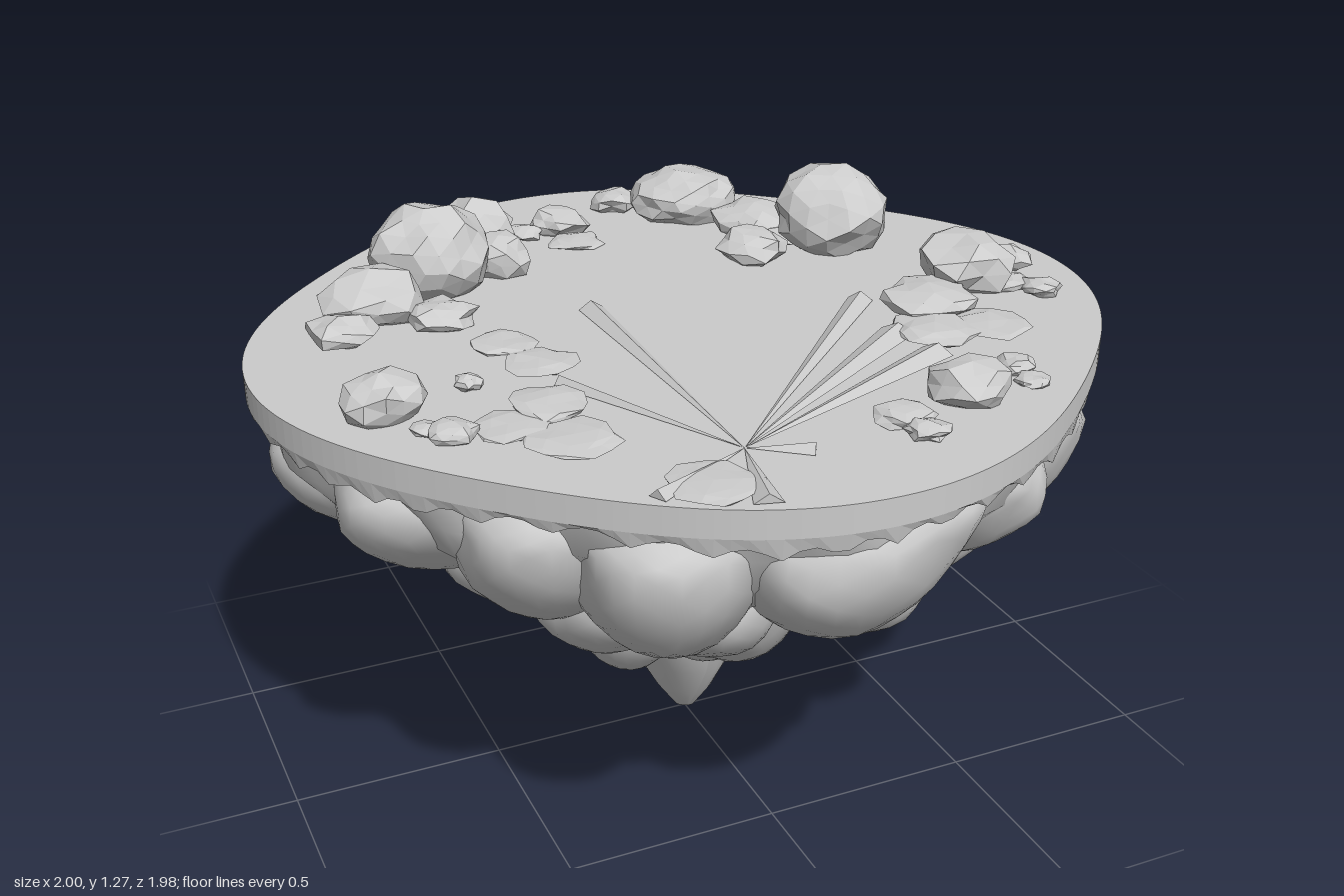
import * as THREE from 'three';
import { mergeVertices } from 'three/addons/utils/BufferGeometryUtils.js';

const GROUND = 1.062;
const smoothMat = new THREE.MeshStandardMaterial({ color: 0xcccccc });
const flatMat = new THREE.MeshStandardMaterial({ color: 0xcccccc, flatShading: true, side: THREE.DoubleSide });

// Rounded-diamond outline of the island, as a factor on the radius
const outline = (a) => 0.963 + 0.037 * Math.cos(4 * a);

// Smooth repeatable lumpiness
const lump = (v, s) =>
  Math.sin(v.x * 3.1 + s * 1.7) * Math.sin(v.y * 2.7 + s * 2.3) + 0.6 * Math.sin(v.z * 4.3 + v.x * 2 + s * 3.1)
  + 0.35 * Math.sin(v.x * 7 + s) * Math.sin(v.y * 6 + v.z * 5 + s * 2);

// Coarse repeatable jitter for faceted stones
const jitter = (v, s) => {
  const n = Math.sin(Math.round(v.x * 50) * 12.99 + Math.round(v.y * 50) * 78.23 + Math.round(v.z * 50) * 37.7 + s * 4.1) * 437.58;
  return n - Math.floor(n) - 0.5;
};

// Moves every vertex of a geometry by a rule
function deform(geo, rule) {
  const p = geo.attributes.position, v = new THREE.Vector3();
  for (let i = 0; i < p.count; i++) {
    v.fromBufferAttribute(p, i);
    rule(v);
    p.setXYZ(i, v.x, v.y, v.z);
  }
  geo.computeVertexNormals();
  return geo;
}

function add(group, name, geo, mat) {
  const mesh = new THREE.Mesh(geo, mat);
  mesh.name = name;
  group.add(mesh);
  return mesh;
}

const lathe = (pts, segments) => new THREE.LatheGeometry(pts.map(([x, y]) => new THREE.Vector2(x, y)), segments);

// Hanging boulder: round above, tapering to a blunt point that leans inwards
function boulder(group, name, seed, { deg, dist, width, depth, mid, up, bottom, lean }) {
  let geo = new THREE.IcosahedronGeometry(1, 5);
  geo.deleteAttribute('uv');
  geo.deleteAttribute('normal');
  geo = mergeVertices(geo, 1e-4);
  deform(geo, (v) => {
    const n = 1 + 0.075 * lump(v, seed);
    const t = Math.max(0, -v.y);
    const taper = 1 - 0.2 * t * t;
    v.set(v.x * width * n * taper, v.y * (v.y > 0 ? up : mid - bottom), v.z * depth * n * taper - lean * t * t);
  });
  const mesh = add(group, name, geo, smoothMat);
  const a = THREE.MathUtils.degToRad(deg), r = dist * outline(a);
  mesh.position.set(Math.sin(a) * r, mid, Math.cos(a) * r);
  mesh.rotation.y = a;
}

// Faceted stone half sunk in the ground
function stone(group, name, x, z, r, h, seed) {
  const big = r > 0.13;
  const geo = deform(new THREE.IcosahedronGeometry(1, big ? 2 : 1), (v) => {
    const n = 1 + (big ? 0.2 : 0.42) * jitter(v, seed);
    v.set(v.x * r * n, v.y * h * 0.6 * n, v.z * r * n);
  });
  const mesh = add(group, name, geo, flatMat);
  mesh.position.set(x, GROUND + h * 0.4, z);
  mesh.rotation.y = seed;
}

export function createModel() {
  const island = new THREE.Group();
  island.name = 'floatingIsland';

  // Ground slab with a scalloped lower edge
  const slab = lathe([[0.85, 1.0], [0.965, 0.98], [0.992, 0.98], [1, 1.0], [1, GROUND], [1, GROUND], [0, GROUND]], 192);
  deform(slab, (v) => {
    const a = Math.atan2(v.x, v.z), k = outline(a);
    if (v.y < 0.99) v.y += 0.026 * Math.abs(Math.sin(a * 23 + Math.sin(a * 5))) - 0.022 + 0.01 * Math.sin(a * 7);
    v.x *= k;
    v.z *= k * 0.99;
  });
  add(island, 'groundSlab', slab, flatMat);

  // Inner mass that fills the gaps between the boulders
  const core = lathe([[0, 0.22], [0.16, 0.36], [0.3, 0.47], [0.46, 0.56], [0.65, 0.66], [0.79, 0.74], [0.88, 0.82], [0.93, 0.9], [0.95, 1.0]], 96);
  deform(core, (v) => {
    const a = Math.atan2(v.x, v.z), k = outline(a) + 0.018 * Math.sin(a * 13 + v.y * 9) + 0.012 * Math.sin(a * 7 - v.y * 21);
    v.x *= k;
    v.z *= k * 0.99;
  });
  add(island, 'rockCore', core, smoothMat);

  // Boulder tiers: angle from the front, half width, lowest point, own distance where it differs
  const under = new THREE.Group();
  under.name = 'underside';
  island.add(under);
  const tiers = [
    { name: 'upperBoulder', dist: 0.7, depth: 0.265, mid: 0.9, up: 0.14, lean: 0.04, list: [
      [4, 0.3, 0.6], [-27, 0.24, 0.56], [-48, 0.21, 0.62], [-71, 0.2, 0.67], [28, 0.2, 0.68], [47, 0.23, 0.62],
      [69, 0.22, 0.65], [90, 0.27, 0.6], [113, 0.22, 0.66], [135, 0.24, 0.6], [157, 0.22, 0.66], [180, 0.27, 0.64],
      [-156, 0.25, 0.64], [-133, 0.24, 0.6], [-111, 0.22, 0.66], [-91, 0.22, 0.67]] },
    { name: 'middleBoulder', dist: 0.55, depth: 0.21, mid: 0.68, up: 0.2, lean: 0.05, list: [
      [-7, 0.19, 0.36, 0.4], [-18, 0.16, 0.48], [20, 0.16, 0.45], [44, 0.19, 0.45], [77, 0.14, 0.54, 0.62],
      [97, 0.18, 0.56], [125, 0.2, 0.46], [150, 0.18, 0.45], [176, 0.2, 0.48], [-154, 0.19, 0.47],
      [-126, 0.2, 0.5], [-97, 0.17, 0.52, 0.5], [-68, 0.18, 0.51, 0.5], [-42, 0.19, 0.46]] },
    { name: 'lowerBoulder', dist: 0.3, depth: 0.15, mid: 0.48, up: 0.25, lean: 0.03, list: [
      [28, 0.14, 0.2, 0.2], [72, 0.14, 0.38, 0.24], [114, 0.11, 0.2, 0.2], [160, 0.16, 0.32], [-148, 0.16, 0.3],
      [-96, 0.15, 0.27, 0.28], [-55, 0.15, 0.25, 0.29], [-15, 0.13, 0.32]] },
  ];
  tiers.forEach((tier, t) => tier.list.forEach(([deg, width, bottom, dist = tier.dist], i) =>
    boulder(under, tier.name, t * 20 + i, { ...tier, deg, width, bottom, dist })));

  // Pointed tip at the very bottom
  const tip = lathe([[0, 0], [0.025, 0.012], [0.07, 0.08], [0.12, 0.17], [0.165, 0.28], [0.185, 0.38], [0.17, 0.48], [0.1, 0.58]], 28);
  deform(tip, (v) => {
    const k = 1 + 0.07 * Math.sin(Math.atan2(v.x, v.z) * 3 + v.y * 9);
    v.x *= k;
    v.z *= k;
  });
  add(under, 'tip', tip, smoothMat);

  // Stones around the rim: x, z, radius, height
  const stones = new THREE.Group();
  stones.name = 'groundStones';
  island.add(stones);
  [
    [-0.47, -0.43, 0.145, 0.2], [-0.65, -0.3, 0.125, 0.1], [-0.76, -0.17, 0.08, 0.06], [-0.52, -0.19, 0.08, 0.05],
    [-0.29, -0.46, 0.075, 0.09], [-0.29, -0.66, 0.105, 0.12], [-0.05, -0.69, 0.075, 0.06], [-0.15, -0.68, 0.05, 0.03],
    [0.15, -0.81, 0.065, 0.05], [0.3, -0.69, 0.14, 0.12], [0.42, -0.5, 0.1, 0.07], [0.55, -0.32, 0.145, 0.2],
    [0.32, -0.3, 0.085, 0.08], [0.71, 0.06, 0.12, 0.12], [0.87, 0.01, 0.06, 0.05], [0.85, -0.05, 0.04, 0.04],
    [0.54, 0.17, 0.11, 0.06], [0.83, 0.2, 0.05, 0.035], [0.79, 0.14, 0.05, 0.03], [0.35, 0.66, 0.09, 0.08],
    [0.17, 0.7, 0.06, 0.035], [0.18, 0.78, 0.045, 0.03], [0.52, 0.57, 0.045, 0.03], [0.51, 0.65, 0.04, 0.02],
    [-0.78, 0.25, 0.08, 0.09], [-0.68, 0.41, 0.05, 0.035], [-0.72, 0.37, 0.035, 0.02], [0.82, -0.19, 0.03, 0.02],
    [-0.58, 0.19, 0.03, 0.03],
  ].forEach(([x, z, r, h], i) => stone(stones, 'stone', x, z, r, h, i + 1));

  // Low uneven mounds: x, z, radius, height
  [
    [-0.44, 0.0, 0.07, 0.015], [-0.4, 0.13, 0.08, 0.015], [-0.46, 0.35, 0.08, 0.025], [-0.57, 0.42, 0.08, 0.015],
    [-0.47, 0.52, 0.09, 0.015], [0.47, 0.32, 0.1, 0.025], [0.6, 0.34, 0.09, 0.015], [0.45, -0.4, 0.09, 0.03],
    [-0.05, -0.58, 0.07, 0.015], [-0.3, 0.81, 0.09, 0.012],
  ].forEach(([x, z, r, h], i) => stone(stones, 'mound', x, z, r, h, i + 40));

  // Thin ridges fanning out from one point of the ground: far end x, z, half width
  const hub = new THREE.Vector3(-0.18, GROUND + 0.002, 0.69);
  [[-0.18, -0.13, 0.03], [0.42, 0.07, 0.03], [0.4, 0.28, 0.04], [0.42, 0.42, 0.04], [-0.4, 0.25, 0.015],
    [-0.42, 0.82, 0.02], [-0.24, 0.92, 0.03], [-0.06, 0.76, 0.02]].forEach(([x, z, w]) => {
    const far = new THREE.Vector3(x, hub.y, z);
    const side = new THREE.Vector3(hub.z - z, 0, x - hub.x).normalize().multiplyScalar(w);
    const a = far.clone().add(side), b = far.clone().sub(side), crest = far.clone().setY(GROUND + 0.022);
    const geo = new THREE.BufferGeometry().setFromPoints([hub, a, crest, hub, crest, b, a, b, crest]);
    geo.computeVertexNormals();
    add(island, 'groundRidge', geo, flatMat);
  });

  return island;
}
